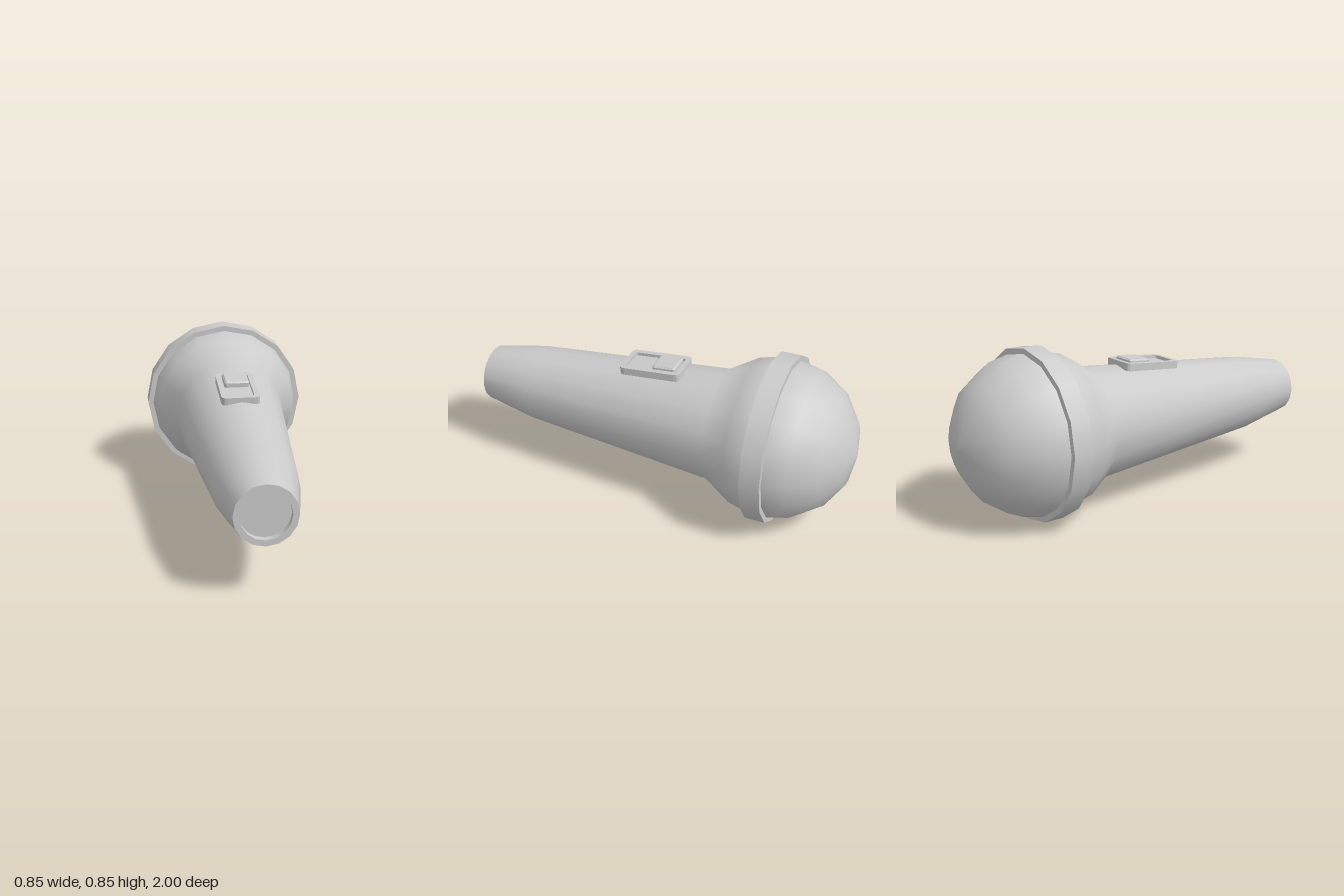
import * as THREE from 'three';

const SIDES = 16;
const material = new THREE.MeshStandardMaterial({ color: 0xcccccc });

function addMesh(parent, name, geometry) {
  const mesh = new THREE.Mesh(geometry, material);
  mesh.name = name;
  parent.add(mesh);
  return mesh;
}

// Turned part along z: profile points are [radius, z], z rising on outer walls
function turned(profile) {
  const points = profile.map(([r, z]) => new THREE.Vector2(r, z));
  return new THREE.LatheGeometry(points, SIDES).rotateX(Math.PI / 2);
}

function roundedRect(target, w, h, r) {
  const x = w / 2, y = h / 2;
  target.moveTo(-x + r, -y);
  target.lineTo(x - r, -y).quadraticCurveTo(x, -y, x, -y + r);
  target.lineTo(x, y - r).quadraticCurveTo(x, y, x - r, y);
  target.lineTo(-x + r, y).quadraticCurveTo(-x, y, -x, y - r);
  target.lineTo(-x, -y + r).quadraticCurveTo(-x, -y, -x + r, -y);
  return target;
}

// Flat plate lying in xz, with its base at y = 0
function plate(shape, depth, bevel = 0) {
  return new THREE.ExtrudeGeometry(shape, {
    depth: depth - bevel, curveSegments: 3, bevelEnabled: bevel > 0,
    bevelThickness: bevel, bevelSize: bevel, bevelOffset: -bevel, bevelSegments: 1,
  }).rotateX(-Math.PI / 2);
}

export function createModel() {
  const model = new THREE.Group();
  model.name = 'microphone';

  // The whole turned body droops very slightly toward the handle end
  const body = new THREE.Group();
  body.name = 'body';
  body.position.set(0, 0.427, -0.6);
  body.rotation.x = 0.009;
  model.add(body);

  // Round head flowing into the tapering handle
  addMesh(body, 'headAndHandle', turned([
    [0, -0.4], [0.155, -0.37], [0.285, -0.283], [0.372, -0.153], [0.397, -0.045],
    [0.397, 0.06], [0.372, 0.16], [0.287, 0.3], [0.198, 1.32], [0.145, 1.6],
  ]));

  // Raised band around the head: separate walls keep the edges sharp
  const band = new THREE.Group();
  band.name = 'headBand';
  body.add(band);
  addMesh(band, 'bandWall', turned([[0.425, -0.043], [0.425, 0.058]]));
  addMesh(band, 'bandBackFace', turned([[0.38, -0.043], [0.425, -0.043]]));
  addMesh(band, 'bandFrontFace', turned([[0.425, 0.058], [0.38, 0.058]]));

  // Handle end with a shallow recess
  const end = new THREE.Group();
  end.name = 'handleEnd';
  body.add(end);
  addMesh(end, 'endRim', turned([[0.145, 1.6], [0.116, 1.6]]));
  addMesh(end, 'recessWall', turned([[0.116, 1.6], [0.116, 1.57]]));
  addMesh(end, 'recessFloor', turned([[0.116, 1.57], [0, 1.57]]));

  // Slide switch lying along the top of the handle
  const control = new THREE.Group();
  control.name = 'switch';
  control.position.set(-0.004, 0.662, 0.057);
  control.rotation.x = 0.097;
  model.add(control);

  const frame = roundedRect(new THREE.Shape(), 0.19, 0.325, 0.028);
  frame.holes.push(roundedRect(new THREE.Path(), 0.136, 0.275, 0.016));
  addMesh(control, 'switchFrame', plate(frame, 0.038));
  addMesh(control, 'switchFloor',
    plate(roundedRect(new THREE.Shape(), 0.15, 0.29, 0.016), 0.022));
  const button = addMesh(control, 'switchButton',
    plate(roundedRect(new THREE.Shape(), 0.124, 0.124, 0.014), 0.04, 0.008));
  button.position.set(0, 0.012, -0.067);

  return model;
}
